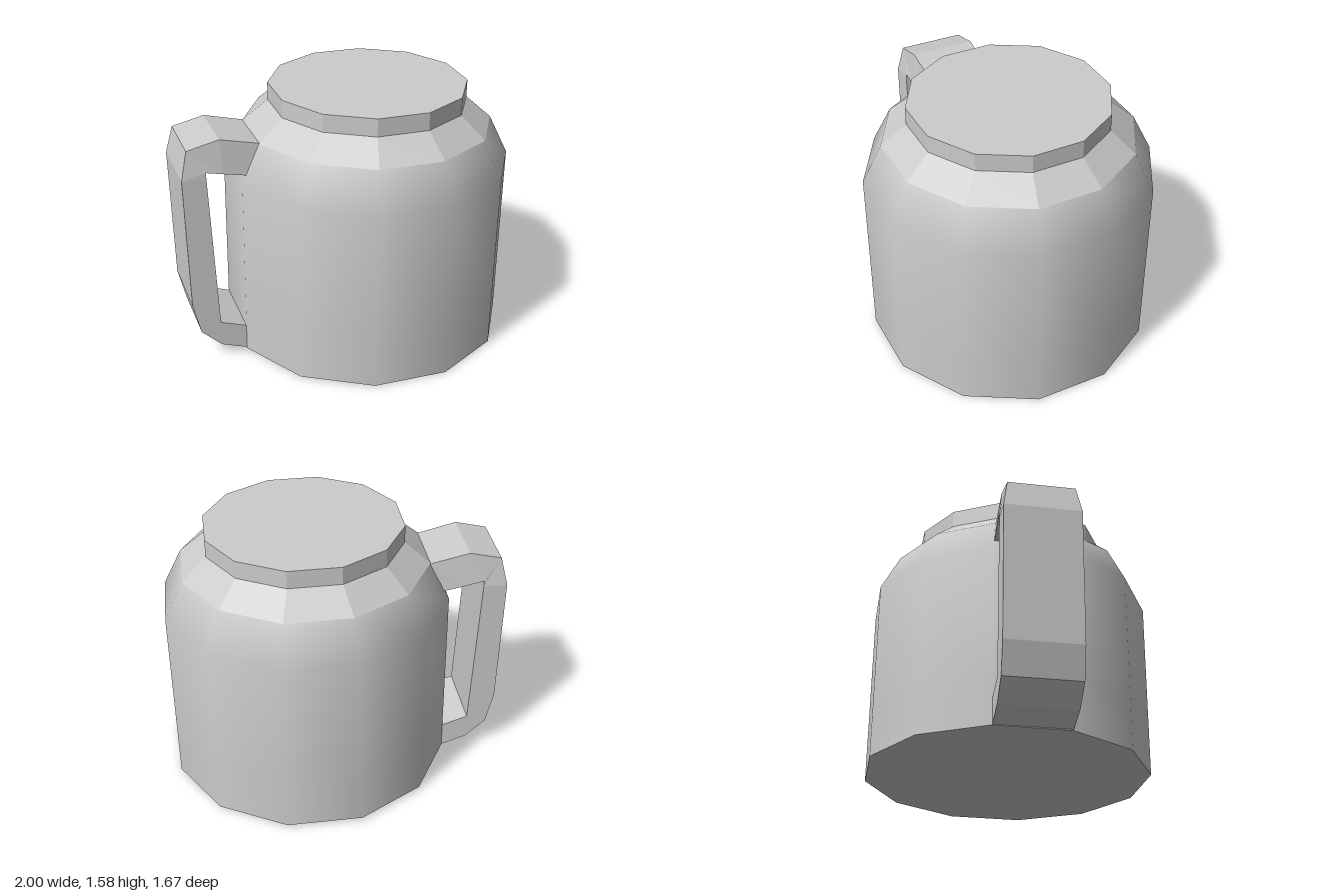
import * as THREE from 'three';

const SIDES = 12;
const STEP = Math.PI / SIDES;
const smooth = new THREE.MeshStandardMaterial({ color: 0xcccccc });
const flat = new THREE.MeshStandardMaterial({ color: 0xcccccc, flatShading: true });

function addMesh(parent, name, geometry, material) {
  const mesh = new THREE.Mesh(geometry, material);
  mesh.name = name;
  parent.add(mesh);
  return mesh;
}

// Twelve-sided wall from [distance to the middle of a side, height] pairs
function wall(profile) {
  const points = profile.map(([r, y]) => new THREE.Vector2(r / Math.cos(STEP), y));
  return new THREE.LatheGeometry(points, SIDES, STEP, Math.PI * 2);
}

function disc(r, y, up) {
  const g = new THREE.CircleGeometry(r / Math.cos(STEP), SIDES, STEP, Math.PI * 2);
  g.rotateX(up ? -Math.PI / 2 : Math.PI / 2);
  return g.translate(0, y, 0);
}

// Band of four-cornered sections: [outer x, y, half width, inner x, y, half width]
function band(sections) {
  const rings = sections.map(([ox, oy, ow, ix, iy, iw]) => [
    [ox, oy, ow], [ox, oy, -ow], [ix, iy, -iw], [ix, iy, iw],
  ]);
  const pos = [];
  for (let i = 0; i < rings.length - 1; i++) {
    for (let j = 0; j < 4; j++) {
      const k = (j + 1) % 4;
      const a = rings[i][j], b = rings[i][k], c = rings[i + 1][k], d = rings[i + 1][j];
      pos.push(...a, ...b, ...c, ...a, ...c, ...d);
    }
  }
  const g = new THREE.BufferGeometry();
  g.setAttribute('position', new THREE.Float32BufferAttribute(pos, 3));
  g.computeVertexNormals();
  return g;
}

export function createModel() {
  const model = new THREE.Group();
  model.name = 'mug';

  // Vessel, leaning very slightly
  const vessel = new THREE.Group();
  vessel.name = 'vessel';
  vessel.position.set(0.163, 0.013, 0);
  vessel.rotation.set(0.008, 0, -0.01);
  model.add(vessel);

  addMesh(vessel, 'body', wall([[0.83, 0], [0.83, 0.31], [0.83, 1.095], [0.717, 1.328]]), smooth);
  addMesh(vessel, 'shoulder', wall([[0.717, 1.328], [0.571, 1.457]]), flat);
  addMesh(vessel, 'collar', wall([[0.571, 1.457], [0.571, 1.563]]), flat);
  addMesh(vessel, 'lid', disc(0.571, 1.563, true), flat);
  addMesh(vessel, 'base', disc(0.83, 0, false), flat);

  // Handle, from the shoulder round to the foot
  addMesh(model, 'handle', band([
    [-0.53, 1.347, 0.19, -0.6, 1.166, 0.21],
    [-0.77, 1.405, 0.195, -0.76, 1.203, 0.22],
    [-0.96, 1.36, 0.195, -0.86, 1.225, 0.22],
    [-1.0, 1.19, 0.222, -0.859, 1.19, 0.222],
    [-0.985, 0.38, 0.222, -0.826, 0.38, 0.222],
    [-0.94, 0.19, 0.222, -0.82, 0.235, 0.222],
    [-0.82, 0.08, 0.222, -0.8, 0.228, 0.222],
    [-0.66, 0.024, 0.222, -0.66, 0.18, 0.222],
  ]), flat);

  return model;
}
